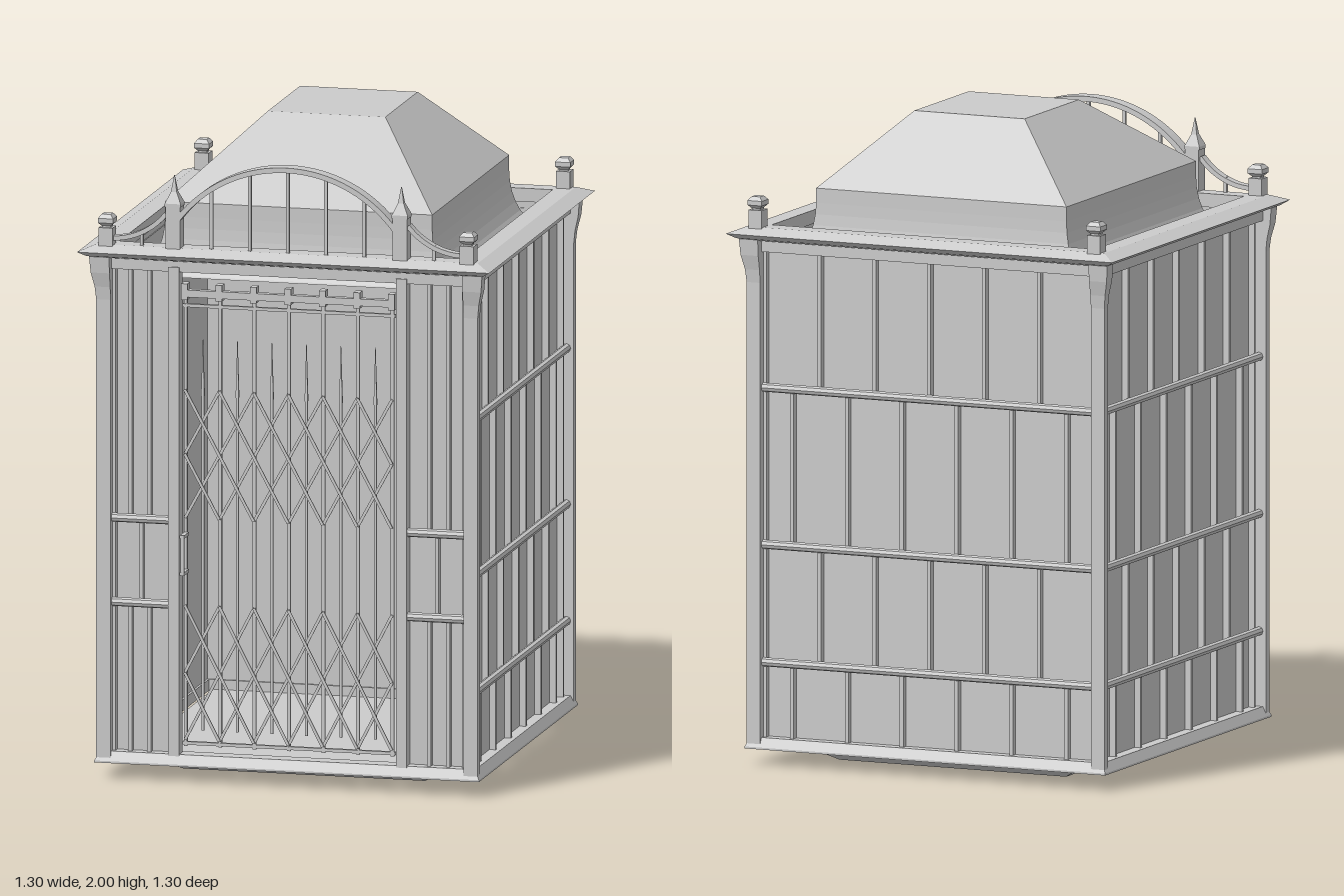
import * as THREE from 'three';

const grey = new THREE.MeshStandardMaterial({ color: 0xcccccc, flatShading: true, side: THREE.DoubleSide });

function add(parent, name, geo, x = 0, y = 0, z = 0) {
  const m = new THREE.Mesh(geo, grey);
  m.name = name;
  m.position.set(x, y, z);
  parent.add(m);
  return m;
}

// box given by its extents
function box(parent, name, x0, x1, y0, y1, z0, z1) {
  const g = new THREE.BoxGeometry(x1 - x0, y1 - y0, z1 - z0);
  return add(parent, name, g, (x0 + x1) / 2, (y0 + y1) / 2, (z0 + z1) / 2);
}

// skin through rectangles [halfWidth, zBack, zFront, y, centreX]
function loft(rects, { bottom = false, top = false, closed = false } = {}) {
  const rings = rects.map(([h, z0, z1, y, c = 0]) => [[c - h, y, z1], [c + h, y, z1], [c + h, y, z0], [c - h, y, z0]]);
  const pos = [];
  const quad = (a, b, c, d) => pos.push(...a, ...b, ...c, ...a, ...c, ...d);
  const n = rings.length;
  for (let i = 0; i < (closed ? n : n - 1); i++) {
    const p = rings[i], q = rings[(i + 1) % n];
    for (let k = 0; k < 4; k++) quad(p[k], p[(k + 1) % 4], q[(k + 1) % 4], q[k]);
  }
  if (top) quad(...rings[n - 1]);
  if (bottom) quad(...[...rings[0]].reverse());
  const g = new THREE.BufferGeometry();
  g.setAttribute('position', new THREE.Float32BufferAttribute(pos, 3));
  g.computeVertexNormals();
  return g;
}

// square frame from an [outward, y] section
const frame = section => loft(section.map(([r, y]) => [r, -r, r, y]), { closed: true });

// flat strip between two points in a plane of constant z
function strip(parent, name, x0, y0, x1, y1, z, w, d) {
  const g = new THREE.BoxGeometry(w, Math.hypot(x1 - x0, y1 - y0), d);
  add(parent, name, g, (x0 + x1) / 2, (y0 + y1) / 2, z).rotation.z = Math.atan2(x0 - x1, y1 - y0);
}

// curved band: rectangular section swept along a circular arc
function band(parent, name, cx, cy, r, a0, a1, t, z0, depth) {
  const s = new THREE.Shape();
  s.absarc(cx, cy, r, a0, a1, false);
  s.absarc(cx, cy, r - t, a1, a0, true);
  add(parent, name, new THREE.ExtrudeGeometry(s, { depth, bevelEnabled: false, curveSegments: 20 }), 0, 0, z0);
}

function roofAndFloor() {
  const g = new THREE.Group();
  g.name = 'roofAndFloor';
  // coved, hipped roof
  const rects = [];
  for (let i = 0; i <= 8; i++) {
    const a = (i / 8) * Math.PI / 2, k = 1 - Math.sin(a), y = 1.73 - 0.18 * Math.cos(a);
    rects.push([0.42 + 0.105 * k, -0.485 - 0.06 * k, 0.457 + 0.048 * k, y]);
  }
  rects.push([0.42, -0.485, 0.457, 1.775], [0.185, -0.28, 0.115, 2]);
  add(g, 'roof', loft(rects, { top: true }));
  // shallow floor pan with a flat rim
  add(g, 'floorPan', loft([[0.38, -0.4, 0.39, 0], [0.46, -0.47, 0.47, 0.045], [0.525, -0.545, 0.505, 0.055]],
    { bottom: true, top: true }));
  return g;
}

// bar standing proud of the panel behind it
const bar = (g, x, y0, y1) => box(g, 'bar', x - 0.006, x + 0.006, y0, y1, 0.553, 0.575);

function rail(g, x0, x1, y) {
  add(g, 'rail', new THREE.CylinderGeometry(0.014, 0.014, x1 - x0, 8), (x0 + x1) / 2, y, 0.577).rotation.z = Math.PI / 2;
}

// one closed side: panel, three rails and staggered bars between them, facing +z
function wall() {
  const g = new THREE.Group();
  g.name = 'wall';
  box(g, 'panel', -0.575, 0.575, 0.08, 1.6, 0.545, 0.555);
  const levels = [0.08, 0.317, 0.68, 1.165, 1.59];
  for (let i = 0; i < 4; i++) {
    if (i > 0) rail(g, -0.575, 0.575, levels[i]);
    const count = i % 2 ? 5 : 6;
    for (let k = 0; k < count; k++) bar(g, (k - (count - 1) / 2) * 0.184, levels[i], levels[i + 1]);
  }
  return g;
}

function frontPanels() {
  const g = new THREE.Group();
  g.name = 'frontPanels';
  for (const s of [-1, 1]) {
    box(g, 'panel', s * 0.46 - 0.115, s * 0.46 + 0.115, 0.08, 1.6, 0.545, 0.555);
    box(g, 'doorJamb', s * 0.358 - 0.017, s * 0.358 + 0.017, 0.08, 1.6, 0.55, 0.595);
    for (const y of [0.548, 0.81]) rail(g, s * 0.465 - 0.095, s * 0.465 + 0.095, y);
    for (const x of [0.5, 0.44]) {
      bar(g, s * x, 0.08, 0.548);
      bar(g, s * x, 0.81, 1.59);
    }
    bar(g, s * 0.465, 0.548, 0.81);
  }
  return g;
}

function door() {
  const g = new THREE.Group();
  g.name = 'foldingDoor';
  const step = 0.1085, half = 3 * step, z = 0.572;
  box(g, 'track', -0.335, 0.335, 1.508, 1.53, 0.565, 0.588);
  box(g, 'topBar', -0.335, 0.335, 1.475, 1.485, 0.566, 0.578);
  box(g, 'bottomBar', -0.335, 0.335, 0.114, 0.124, 0.566, 0.578);
  for (let i = 0; i <= 6; i++) {
    const x = -half + i * step;
    box(g, 'upright', x - 0.005, x + 0.005, 0.11, 1.51, z - 0.005, z + 0.005);
    box(g, 'hanger', x - 0.01, x + 0.01, 1.5, 1.55, 0.558, 0.592);
    if (i < 6) {
      // slim bar with a spear point
      const c = x + step / 2;
      box(g, 'spearBar', c - 0.004, c + 0.004, 0.16, 1.2, z - 0.004, z + 0.004);
      add(g, 'spearPoint', new THREE.ConeGeometry(0.007, 0.2, 4), c, 1.3, z).rotation.y = Math.PI / 4;
    }
  }
  // scissor lattice, clipped at both door edges
  for (const [y0, y1] of [[0.13, 0.55], [0.82, 1.22]]) {
    for (let i = -1; i <= 5; i++) {
      const a = -half + i * step, b = a + 2 * step;
      const ca = Math.max(a, -half), cb = Math.min(b, half);
      const yAt = x => y0 + (y1 - y0) * (x - a) / (b - a);
      strip(g, 'latticeStrip', ca, yAt(ca), cb, yAt(cb), z + 0.008, 0.009, 0.004);
      strip(g, 'latticeStrip', ca, y0 + y1 - yAt(ca), cb, y0 + y1 - yAt(cb), z + 0.013, 0.009, 0.004);
    }
  }
  // pull handle
  box(g, 'handleGrip', -0.327, -0.317, 0.65, 0.775, 0.618, 0.628);
  for (const y of [0.655, 0.77]) box(g, 'handleFoot', -0.329, -0.315, y - 0.005, y + 0.005, 0.575, 0.632);
  return g;
}

function crest() {
  const g = new THREE.Group();
  g.name = 'frontCrest';
  const z0 = 0.563, depth = 0.047, zc = 0.587;
  // main arch through (±0.35, 1.755) and (0, 1.93)
  const R = (0.35 ** 2 + 0.175 ** 2) / (2 * 0.175), cy = 1.93 - R, a = Math.asin(0.35 / R);
  band(g, 'arch', 0, cy, R, Math.PI / 2 - a, Math.PI / 2 + a, 0.016, z0, depth);
  for (let i = -2; i <= 2; i++) {
    const x = i * 0.12;
    box(g, 'archBar', x - 0.005, x + 0.005, 1.66, cy + Math.sqrt(R * R - x * x) - 0.01, zc - 0.005, zc + 0.005);
  }
  for (const s of [-1, 1]) {
    const x = s * 0.357;
    box(g, 'crestPost', x - 0.023, x + 0.023, 1.66, 1.79, z0, z0 + depth);
    add(g, 'crestSpire', loft([[0.025, z0, z0 + depth, 1.79, x], [0.025, z0, z0 + depth, 1.8, x],
      [0.009, zc - 0.009, zc + 0.009, 1.835, x], [0.001, zc - 0.001, zc + 0.001, 1.885, x]], { bottom: true }));
    // sagging side sweep down to the corner finial
    const r = 0.23, m = -Math.PI / 2 - s * 0.45;
    band(g, 'sideSweep', s * 0.555, 1.675 + r, r, m - 0.45, m + 0.45, 0.014, z0 + 0.008, 0.03);
    box(g, 'sweepBar', s * 0.46 - 0.005, s * 0.46 + 0.005, 1.66, 1.71, zc - 0.005, zc + 0.005);
  }
  return g;
}

export function createModel() {
  const model = new THREE.Group();
  model.name = 'liftCar';
  model.add(roofAndFloor(), frontPanels(), door(), crest());

  // base, head beam and cornice
  add(model, 'baseFrame', frame([[0.605, 0.05], [0.605, 0.056], [0.59, 0.085], [0.538, 0.085], [0.538, 0.05]]));
  add(model, 'headBeam', frame([[0.59, 1.585], [0.59, 1.63], [0.548, 1.63], [0.548, 1.585]]));
  add(model, 'cornice', frame([[0.6, 1.62], [0.625, 1.628], [0.648, 1.643], [0.6, 1.662], [0.542, 1.662], [0.542, 1.62]]));

  // closed walls on the back and both sides
  for (const turn of [0.5, 1, 1.5]) {
    const side = wall();
    side.rotation.y = turn * Math.PI;
    model.add(side);
  }

  // corner posts flaring outward at the head, and finials above
  for (const sx of [-1, 1]) for (const sz of [-1, 1]) {
    const corner = new THREE.Group();
    corner.name = 'corner';
    // section from the inner corner to an outer face that moves out by e
    const post = (e, y) => {
      const outer = sz * (0.6 + e), inner = sz * 0.574;
      return [(0.045 + e) / 2, Math.min(outer, inner), Math.max(outer, inner), y, sx * (0.555 + (0.045 + e) / 2)];
    };
    add(corner, 'cornerPost', loft([post(0, 0.06), post(0, 1.49), post(0.004, 1.53), post(0.014, 1.575), post(0.018, 1.625)],
      { bottom: true, top: true }));
    const x = sx * 0.568, z = sz * 0.588;
    box(corner, 'finialBase', x - 0.022, x + 0.022, 1.655, 1.715, z - 0.022, z + 0.022);
    const knob = [[0.014, 1.712], [0.014, 1.72], [0.024, 1.73], [0.024, 1.744], [0.014, 1.756]];
    add(corner, 'finialKnob', loft(knob.map(([r, y]) => [r, z - r, z + r, y, x]), { top: true }));
    model.add(corner);
  }
  return model;
}
